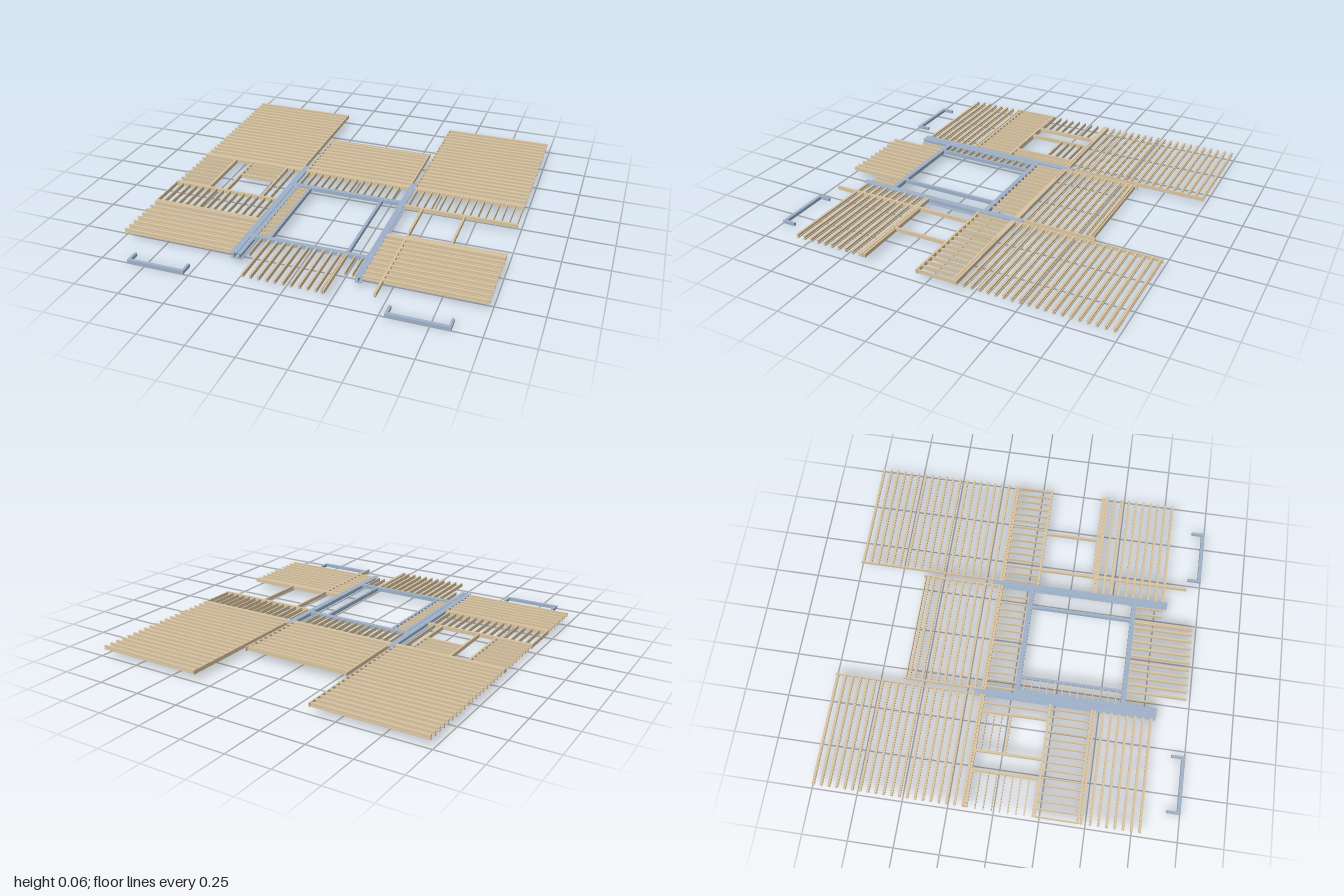
import * as THREE from 'three';

const wood = new THREE.MeshStandardMaterial({ color: 0xd8c3a0 });
const steel = new THREE.MeshStandardMaterial({ color: 0x9db0c8 });
const Y0 = 0.039, Y1 = 0.061; // underside and top of the joists
const PITCH = 0.0431, W = 0.013, THIN = 0.006;

export function createModel() {
  const model = new THREE.Group();
  const part = (name) => {
    const g = new THREE.Group();
    g.name = name;
    model.add(g);
    return g;
  };
  // Box given by its extents
  const bar = (g, x0, x1, z0, z1, mat = wood, y0 = Y0, y1 = Y1) => {
    const m = new THREE.Mesh(new THREE.BoxGeometry(x1 - x0, y1 - y0, z1 - z0), mat);
    m.position.set((x0 + x1) / 2, (y0 + y1) / 2, (z0 + z1) / 2);
    m.name = g.name + 'Bar';
    g.add(m);
  };
  const alongX = (g, z, x0, x1, w = W, mat = wood) => bar(g, x0, x1, z - w / 2, z + w / 2, mat);
  const alongZ = (g, x, z0, z1, w = W, mat = wood) => bar(g, x - w / 2, x + w / 2, z0, z1, mat);
  const rowX = (g, first, n, x0, x1, w = THIN, pitch = PITCH) => {
    for (let i = 0; i < n; i++) alongX(g, first + i * pitch, x0, x1, w);
  };
  const rowZ = (g, first, n, z0, z1, w = THIN, pitch = PITCH) => {
    for (let i = 0; i < n; i++) alongZ(g, first + i * pitch, z0, z1, w);
  };
  // Row of deck joists, each with two flanges and a thin web
  const deckRow = (g, first, n, x0, x1, pitch = PITCH) => {
    for (let i = 0; i < n; i++) {
      const z = first + i * pitch;
      bar(g, x0, x1, z - W / 2, z + W / 2, wood, Y1 - 0.006, Y1);
      bar(g, x0, x1, z - W / 2, z + W / 2, wood, Y0, Y0 + 0.006);
      bar(g, x0, x1, z - 0.002, z + 0.002, wood, Y0 + 0.006, Y1 - 0.006);
    }
  };
  // Steel I-beam running front to back
  const iBeam = (g, x, w, z0, z1) => {
    bar(g, x - w / 2, x + w / 2, z0, z1, steel, 0.027, 0.03);
    bar(g, x - w / 2, x + w / 2, z0, z1, steel, 0.058, 0.061);
    bar(g, x - 0.0015, x + 0.0015, z0, z1, steel, 0.03, 0.058);
  };

  // Rear decks on both sides, with a doubled joist at the front
  for (const s of [-1, 1]) {
    const g = part(s < 0 ? 'rightRearJoists' : 'leftRearJoists');
    const x0 = s < 0 ? -0.985 : 0.35, x1 = x0 + 0.635;
    deckRow(g, -0.987, 19, x0, x1);
    rowX(g, -0.166, 2, x0, x1, W, 0.014);
    alongZ(g, s * 0.352, -1, -0.15, 0.005);
  }

  // Middle rear deck
  const mid = part('middleRearJoists');
  deckRow(mid, -0.585, 1, -0.317, 0.317);
  deckRow(mid, -0.555, 9, -0.317, 0.317);
  rowX(mid, -0.166, 2, -0.317, 0.317, W, 0.014);
  alongX(mid, -0.602, -0.317, 0.317, 0.004);
  for (const s of [-1, 1]) alongZ(mid, s * 0.318, -0.617, -0.15, 0.008);
  rowZ(part('middleCrossJoists'), -0.298, 14, -0.146, 0.016);

  // Long steel side beams
  const beams = part('steelSideBeam');
  for (const s of [-1, 1]) iBeam(beams, s * 0.335, 0.035, -0.207, 0.815);
  iBeam(beams, -0.303, 0.024, 0.035, 0.815);

  // Steel frame around the central opening
  const frame = part('steelOpeningFrame');
  alongX(frame, 0.028, -0.32, 0.32, 0.026, steel);
  alongX(frame, 0.625, -0.32, 0.32, 0.026, steel);
  alongZ(frame, 0.213, 0.041, 0.613, 0.015, steel);
  alongZ(frame, -0.218, 0.041, 0.613, 0.014, steel);
  rowX(part('openingSideJoists'), 0.064, 13, -0.299, -0.225);

  // Front middle joists, the outer ones shorter
  const front = part('frontJoists');
  rowZ(front, -0.212, 10, 0.638, 0.974, 0.011);
  for (const x of [0.205, 0.215]) alongZ(front, x, 0.638, 0.974, 0.008);
  for (const x of [-0.257, 0.26, 0.3]) alongZ(front, x, 0.638, 0.793, THIN);

  // Wing on the -x side with a stair opening
  const wing = part('rightWingFrame');
  rowX(wing, -0.144, 9, -0.985, -0.78, THIN, 0.0445);
  alongZ(wing, -0.778, -0.146, 0.22);
  alongZ(wing, -0.67, -0.146, 0.22, 0.012);
  alongZ(wing, -0.444, -0.146, 0.22, 0.012);
  alongZ(wing, -0.396, -0.146, 0.22, THIN);
  alongX(wing, 0.016, -0.67, -0.444, 0.012);
  rowX(wing, -0.118, 3, -0.67, -0.444);
  alongX(wing, 0.225, -0.985, -0.352);
  rowZ(wing, -0.982, 15, 0.23, 0.45);
  const deckR = part('rightFrontJoists');
  rowX(deckR, 0.457, 2, -0.985, -0.352, W, 0.018);
  deckRow(deckR, 0.524, 7, -0.985, -0.352, 0.0442);

  // Wing on the +x side with two trimmer joists
  const wingL = part('leftWingFrame');
  rowZ(wingL, 0.368, 15, -0.146, 0.05, THIN, 0.0436);
  alongX(wingL, 0.055, 0.35, 0.985);
  alongZ(wingL, 0.455, 0.055, 0.917, 0.012);
  alongZ(wingL, 0.695, 0.055, 0.365, 0.012);
  const deckL = part('leftFrontJoists');
  alongX(deckL, 0.366, 0.455, 0.985, 0.011);
  rowX(deckL, 0.381, 2, 0.35, 0.985, W, 0.014);
  deckRow(deckL, 0.438, 9, 0.35, 0.985, 0.0438);

  // Low U-shaped steel brackets standing in front
  for (const s of [-1, 1]) {
    const g = part(s < 0 ? 'rightBracket' : 'leftBracket');
    const c = s * 0.69;
    bar(g, c - 0.161, c + 0.161, 0.982, 1, steel, 0, 0.018);
    for (const e of [-1, 1])
      bar(g, c + e * 0.154 - 0.007, c + e * 0.154 + 0.007, 0.925, 0.982, steel, 0, 0.018);
  }
  return model;
}
